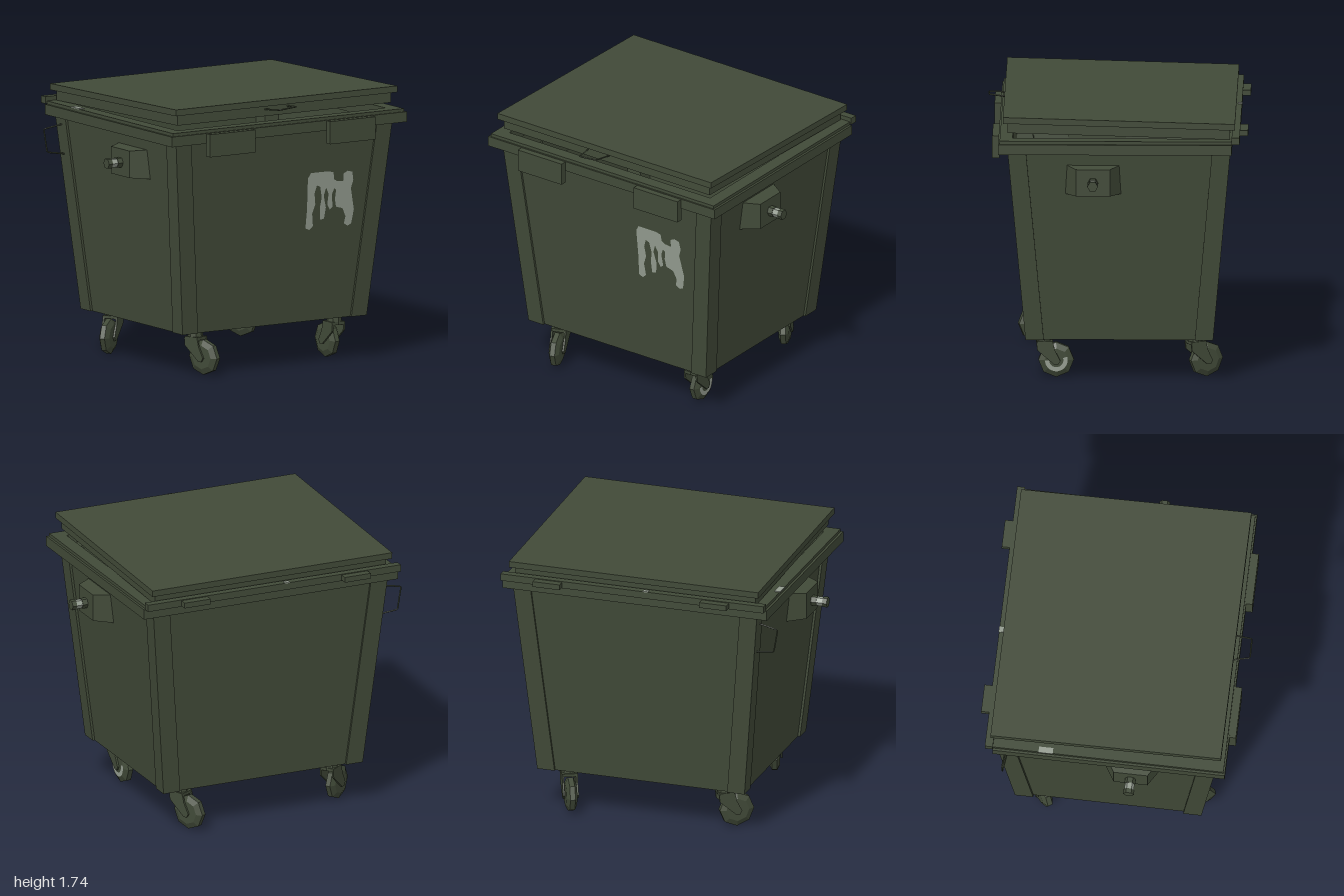
import * as THREE from 'three';

const flat = (name, color, side = THREE.FrontSide) =>
  Object.assign(new THREE.MeshStandardMaterial({ color, flatShading: true, side }), { name });

// Box tapering from a base rectangle (half sizes) at y = 0 to a top one at y = h, top shifted by dx, dz
function frustum([bx, bz], [tx, tz], h, dx = 0, dz = 0) {
  const g = new THREE.BoxGeometry(2, 1, 2);
  const p = g.attributes.position;
  for (let i = 0; i < p.count; i++) {
    const top = p.getY(i) > 0;
    p.setXYZ(i, p.getX(i) * (top ? tx : bx) + (top ? dx : 0), top ? h : 0,
      p.getZ(i) * (top ? tz : bz) + (top ? dz : 0));
  }
  g.computeVertexNormals();
  return g;
}

export function createModel() {
  const green = flat('bin green', 0x414a38);
  const greenOpen = flat('bin green open', 0x414a38, THREE.DoubleSide);
  const grey = flat('pale grey paint', 0x959d91, THREE.DoubleSide);
  const model = new THREE.Group();
  const bin = new THREE.Group();
  bin.name = 'wheeledBin';
  bin.rotation.y = 0.122;
  model.add(bin);

  const add = (name, geo, mat, x = 0, y = 0, z = 0, parent = bin) => {
    const m = new THREE.Mesh(geo, mat);
    m.name = name;
    m.position.set(x, y, z);
    parent.add(m);
    return m;
  };
  const box = (name, w, h, d, x, y, z, parent = bin, mat = green) =>
    add(name, new THREE.BoxGeometry(w, h, d), mat, x, y, z, parent);
  const wire = (name, points, parent) => {
    const path = new THREE.CurvePath();
    const v = points.map(p => new THREE.Vector3(...p));
    for (let i = 1; i < v.length; i++) path.add(new THREE.LineCurve3(v[i - 1], v[i]));
    add(name, new THREE.TubeGeometry(path, 30, 0.005, 4), green, 0, 0, 0, parent);
  };

  // Tapered tub, open at the top
  const Y0 = 0.275, H = 1.27;
  const tub = frustum([0.675, 0.575], [0.798, 0.69], H);
  const idx = Array.from(tub.index.array);
  idx.splice(12, 6);
  tub.setIndex(idx);
  tub.clearGroups();
  add('tub', tub, greenOpen, 0, Y0, 0);

  // Corner posts standing slightly proud of the panels
  const w = 0.0575;
  for (const sx of [-1, 1]) for (const sz of [-1, 1])
    add('cornerPost', frustum([w, w], [w, w], H, sx * 0.123, sz * 0.113), green,
      sx * (0.69 - w), Y0, sz * (0.59 - w));

  // Rim frame, back lip and hinge lugs
  const rect = (S, x, z0, z1) => new S([[-x, z0], [x, z0], [x, z1], [-x, z1]].map(p => new THREE.Vector2(...p)));
  const rimShape = (x, back, front) => {
    const s = rect(THREE.Shape, x, -front, -back);
    s.holes.push(rect(THREE.Path, 0.78, -0.67, 0.67));
    return s;
  };
  const rim = (name, x, back, front, y, h) => {
    const g = new THREE.ExtrudeGeometry(rimShape(x, back, front), { depth: h, bevelEnabled: false });
    g.rotateX(-Math.PI / 2);
    add(name, g, green, 0, y, 0);
  };
  rim('rim', 0.88, -0.71, 0.76, 1.515, 0.065);
  rim('rimUpperEdge', 0.865, -0.71, 0.75, 1.58, 0.02);
  box('backLip', 1.75, 0.045, 0.05, 0, 1.605, -0.735);
  for (const s of [-1, 1]) {
    box('hingeLug', 0.18, 0.035, 0.07, s * 0.555, 1.605, -0.775);
    box('frontFlap', 0.34, 0.145, 0.045, s * 0.45, 1.505, 0.778);
  }

  // Lid, a little raised at the front
  const lid = new THREE.Group();
  lid.name = 'lid';
  lid.position.y = 1.725;
  lid.rotation.x = -0.027;
  bin.add(lid);
  box('lidTop', 1.66, 0.04, 1.46, 0, -0.02, 0, lid);
  box('lidSkirt', 1.6, 0.068, 1.4, 0, -0.072, 0, lid);
  wire('lidHandle', [[-0.145, -0.062, 0.70], [-0.118, -0.055, 0.83], [0.006, -0.045, 0.828], [0.023, -0.055, 0.70]], lid);

  // Wire loop on one side
  wire('sideHandle', [[-0.79, 1.46, -0.63], [-0.93, 1.435, -0.645], [-0.905, 1.285, -0.645], [-0.77, 1.265, -0.63]], bin);

  // Lifting blocks and pins on both sides
  for (const s of [-1, 1]) {
    const turn = -s * Math.PI / 2;
    const block = frustum([0.095, 0.18], [0.086, 0.107], 0.12);
    block.rotateZ(turn);
    add('liftingBlock', block, green, s * 0.76, 1.335, 0.163);
    const pin = (name, r, from, to, mat) => {
      const g = new THREE.CylinderGeometry(r, r, to - from, 6);
      g.rotateZ(turn);
      add(name, g, mat, s * (from + to) / 2, 1.335, 0.163);
    };
    pin('liftingPinBase', 0.034, 0.87, 0.915, green);
    pin('liftingPinBand', 0.03, 0.915, 0.955, grey);
    pin('liftingPinCap', 0.034, 0.955, 0.985, green);
  }

  // Swivelling castors, each turned its own way: x, z, trailing direction in world x, z
  const tyre = new THREE.LatheGeometry(
    [[0, -0.034], [0.075, -0.034], [0.112, -0.016], [0.112, 0.016], [0.075, 0.034], [0, 0.034]]
      .map(p => new THREE.Vector2(...p)), 8);
  tyre.rotateZ(-Math.PI / 2);
  const forkShape = new THREE.Shape([[-0.05, 0.225], [0.055, 0.225], [0.065, 0.18], [0.1, 0.11],
    [0.085, 0.085], [0.06, 0.088], [-0.045, 0.18]].map(p => new THREE.Vector2(...p)));
  const fork = new THREE.ExtrudeGeometry(forkShape, { depth: 0.012, bevelEnabled: false });
  fork.rotateY(-Math.PI / 2); // profile runs along z, thickness towards -x
  const castors = [[-0.52, 0.475, 0.033, 0.07], [0.52, 0.475, -0.013, -0.075],
    [-0.52, -0.475, -0.05, 0.045], [0.52, -0.475, -0.044, -0.064]];
  for (const [x, z, dx, dz] of castors) {
    const c = new THREE.Group();
    c.name = 'castor';
    c.position.set(x, 0, z);
    c.rotation.y = Math.atan2(dx, dz) - bin.rotation.y;
    bin.add(c);
    add('swivel', new THREE.CylinderGeometry(0.045, 0.05, 0.06, 8), green, 0, 0.25, 0, c);
    box('forkCrown', 0.1, 0.02, 0.1, 0, 0.228, 0.003, c);
    add('forkArm', fork, green, 0.05, 0, 0, c);
    add('forkArm', fork, green, -0.038, 0, 0, c);
    add('wheel', tyre, green, 0, 0.112, 0.075, c);
    if (x > 0 && z > 0) {
      const mark = new THREE.RingGeometry(0.045, 0.072, 10, 1, Math.PI, Math.PI * 1.1);
      mark.rotateY(-Math.PI / 2);
      add('wheelPaintMark', mark, grey, -0.036, 0.112, 0.075, c);
    }
  }

  // Dripping paint patch lying on the sloping front panel
  const drips = [[0.28, 1.2], [0.3, 1.235], [0.43, 1.235], [0.47, 1.225], [0.475, 1.18], [0.5, 1.165],
    [0.545, 1.16], [0.545, 1.21], [0.575, 1.225], [0.61, 1.215], [0.62, 1.16], [0.605, 1.11],
    [0.62, 1.04], [0.635, 0.97], [0.62, 0.88], [0.595, 0.868], [0.565, 0.885], [0.575, 0.93],
    [0.55, 0.985], [0.5, 1.0], [0.49, 1.05], [0.495, 1.11], [0.48, 1.12], [0.465, 1.08], [0.475, 1.0],
    [0.455, 0.985], [0.435, 1.02], [0.44, 1.09], [0.42, 1.13], [0.405, 1.08], [0.425, 1.0],
    [0.415, 0.93], [0.385, 0.925], [0.38, 1.0], [0.39, 1.07], [0.375, 1.14], [0.35, 1.15],
    [0.335, 1.1], [0.345, 1.03], [0.325, 0.97], [0.335, 0.89], [0.31, 0.865], [0.28, 0.88], [0.285, 1.0]];
  const splash = new THREE.ShapeGeometry(new THREE.Shape(
    drips.map(([x, y]) => new THREE.Vector2((x - 0.08) / 0.9926, y))));
  const p = splash.attributes.position;
  for (let i = 0; i < p.count; i++) p.setZ(i, 0.58 + 0.115 * (p.getY(i) - Y0) / H);
  splash.computeVertexNormals();
  add('paintSplash', splash, grey);

  // Small paint spots on the rim
  box('rimPaintSpot', 0.04, 0.006, 0.09, -0.85, 1.602, -0.376, bin, grey);
  box('lipPaintSpot', 0.035, 0.006, 0.03, -0.089, 1.629, -0.748, bin, grey);

  return model;
}
